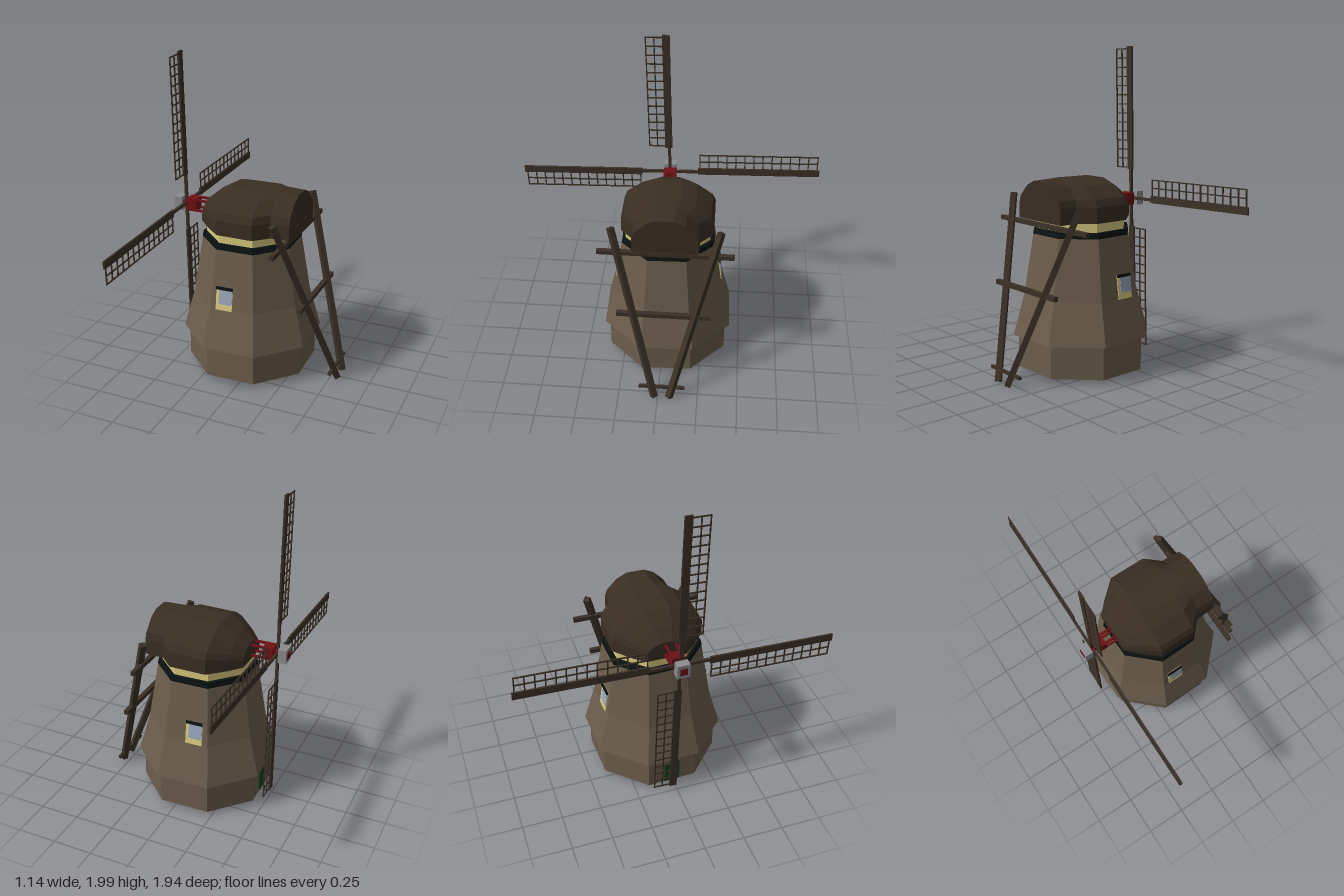
import * as THREE from 'three';

const mat = (name, color) => {
  const m = new THREE.MeshStandardMaterial({ color });
  m.name = name;
  return m;
};

// Hard facets for low-poly parts
function faceted(geo) {
  const g = geo.index ? geo.toNonIndexed() : geo;
  g.computeVertexNormals();
  return g;
}

function add(parent, name, geo, material, x = 0, y = 0, z = 0) {
  const mesh = new THREE.Mesh(geo, material);
  mesh.name = name;
  mesh.position.set(x, y, z);
  parent.add(mesh);
  return mesh;
}

const box = (parent, name, m, [w, h, d], [x, y, z]) =>
  add(parent, name, new THREE.BoxGeometry(w, h, d), m, x, y, z);

// Square beam between two points
function beam(parent, name, m, a, b, size) {
  const from = new THREE.Vector3(...a), to = new THREE.Vector3(...b);
  const mesh = add(parent, name, new THREE.BoxGeometry(size, size, from.distanceTo(to)), m);
  mesh.position.copy(from).add(to).multiplyScalar(0.5);
  mesh.lookAt(to);
  return mesh;
}

// Eight-sided solid from [apothem, height] pairs, flat sides on the axes
function octagon(profile) {
  const k = 1 / Math.cos(Math.PI / 8);
  const geo = new THREE.LatheGeometry(profile.map(([a, y]) => new THREE.Vector2(a * k, y)), 8);
  geo.rotateY(Math.PI / 8);
  return faceted(geo);
}

// Cap: arched cross-sections [x, halfWidth, bottom, top] joined along x
function capGeometry(sections) {
  const half = [[1, 0], [1, 0.4], [0.93, 0.58], [0.6, 0.87], [0.28, 1]];
  const arch = [...half, ...half.slice().reverse().map(([z, y]) => [-z, y])];
  const n = arch.length, pos = [], idx = [];
  for (const [x, w, y0, y1] of sections)
    for (const [z, y] of arch) pos.push(x, y0 + y * (y1 - y0), z * w);
  for (let i = 0; i < sections.length - 1; i++)
    for (let j = 0; j < n; j++) {
      const a = i * n + j, b = i * n + (j + 1) % n;
      idx.push(a, a + n, b, b, a + n, b + n);
    }
  const last = (sections.length - 1) * n;
  for (let j = 1; j < n - 1; j++) {
    idx.push(0, j, j + 1);
    idx.push(last, last + j + 1, last + j);
  }
  const geo = new THREE.BufferGeometry();
  geo.setAttribute('position', new THREE.Float32BufferAttribute(pos, 3));
  geo.setIndex(idx);
  return faceted(geo);
}

export function createModel() {
  const model = new THREE.Group();
  model.name = 'windmill';
  const wall = mat('wall brown', 0x6b5d4c);
  const thatch = mat('cap dark brown', 0x3a2e23);
  const wood = mat('timber', 0x3b3026);
  const black = mat('black trim', 0x0b1211);
  const cream = mat('cream trim', 0xd8c97e);
  const glass = mat('window glass', 0x98a6bb);
  const red = mat('dark red', 0x6e0f13);
  const grey = mat('hub grey', 0x8c8c90);
  const green = mat('door green', 0x14401c);
  const cz = -0.025;

  // Tower
  const tower = new THREE.Group();
  tower.name = 'tower';
  tower.position.set(-0.06, 0, cz);
  tower.rotation.y = 0.03;
  model.add(tower);
  add(tower, 'base', octagon([[0, 0.04], [0.375, 0.04], [0.375, 0.245]]), wall);
  add(tower, 'towerWall', octagon([[0.37, 0.245], [0.405, 0.245], [0.34, 0.5],
    [0.285, 0.87], [0, 0.87]]), wall);
  add(tower, 'blackBand', octagon([[0, 0.87], [0.287, 0.87], [0.28, 0.905], [0, 0.905]]), black);
  add(tower, 'creamBand', octagon([[0.262, 0.9], [0.262, 0.97], [0, 0.97]]), cream);

  // Door on the sail side
  box(tower, 'door', green, [0.008, 0.15, 0.1], [-0.376, 0.12, 0]);

  // Windows on front and back, lying on the sloping wall
  for (const side of [0, 1]) {
    const face = new THREE.Group();
    face.name = side ? 'backWindow' : 'frontWindow';
    face.rotation.y = side * Math.PI;
    tower.add(face);
    const pane = new THREE.Group();
    pane.position.set(side ? 0.05 : -0.05, 0.57, 0.331);
    pane.rotation.x = -Math.atan(0.149);
    face.add(pane);
    box(pane, 'windowFrame', cream, [0.107, 0.148, 0.008], [0, 0, 0]);
    box(pane, 'windowGlass', glass, [0.086, 0.095, 0.008], [0.009, 0.012, 0.003]);
    box(pane, 'windowLintel', black, [0.107, 0.018, 0.009], [0, 0.066, 0.006]);
  }

  // Cap with its straight tail
  add(model, 'cap', capGeometry([
    [-0.345, 0.125, 0.97, 1.085], [-0.28, 0.19, 0.965, 1.14], [-0.17, 0.285, 0.962, 1.2],
    [0.06, 0.285, 0.962, 1.203], [0.145, 0.205, 0.962, 1.203], [0.265, 0.2, 0.962, 1.2],
  ]), thatch, 0, 0, cz);

  // Hub and wind shaft
  const hubY = 1.032;
  box(model, 'hub', grey, [0.052, 0.088, 0.08], [-0.543, hubY, 0]);
  box(model, 'hubPlate', red, [0.006, 0.045, 0.045], [-0.57, hubY, 0]);
  box(model, 'shaft', red, [0.04, 0.035, 0.035], [-0.5, hubY, 0]);
  box(model, 'shaftBlock', red, [0.065, 0.08, 0.08], [-0.453, hubY, -0.003]);
  for (const y of [-0.034, 0.034])
    for (const z of [-0.034, 0.028])
      box(model, 'shaftRail', red, [0.14, 0.013, 0.013], [-0.36, hubY + y, z]);

  // Four sails: spar, board and lattice
  const rotor = new THREE.Group();
  rotor.name = 'rotor';
  rotor.position.set(-0.503, hubY, 0);
  rotor.rotation.x = 0.027;
  model.add(rotor);
  for (let k = 0; k < 4; k++) {
    const sail = new THREE.Group();
    sail.name = 'sail';
    sail.rotation.x = k * Math.PI / 2;
    rotor.add(sail);
    box(sail, 'sailSpar', wood, [0.016, 0.2, 0.018], [0, 0.1, 0]);
    box(sail, 'sailBoard', wood, [0.012, 0.785, 0.046], [0, 0.5765, 0.004]);
    for (const z of [0.076, 0.127])
      box(sail, 'latticeRail', wood, [0.007, 0.765, 0.007], [0, 0.575, z]);
    for (let i = 0; i < 14; i++)
      box(sail, 'latticeRung', wood, [0.007, 0.007, 0.11], [0, 0.196 + i * 0.0583, 0.076]);
  }

  // Tail poles and their cross beams
  for (const s of [-1, 1])
    beam(model, 'tailPole', wood, [0.212, 1.095, cz + s * 0.33], [0.543, 0.018, cz + s * 0.047], 0.036);
  for (const [x, y, half, t] of [[0.24, 0.935, 0.415, 0.027], [0.37, 0.56, 0.29, 0.028], [0.52, 0.085, 0.145, 0.018]])
    box(model, 'crossBeam', wood, [t, t, half * 2], [x, y, cz]);

  return model;
}
